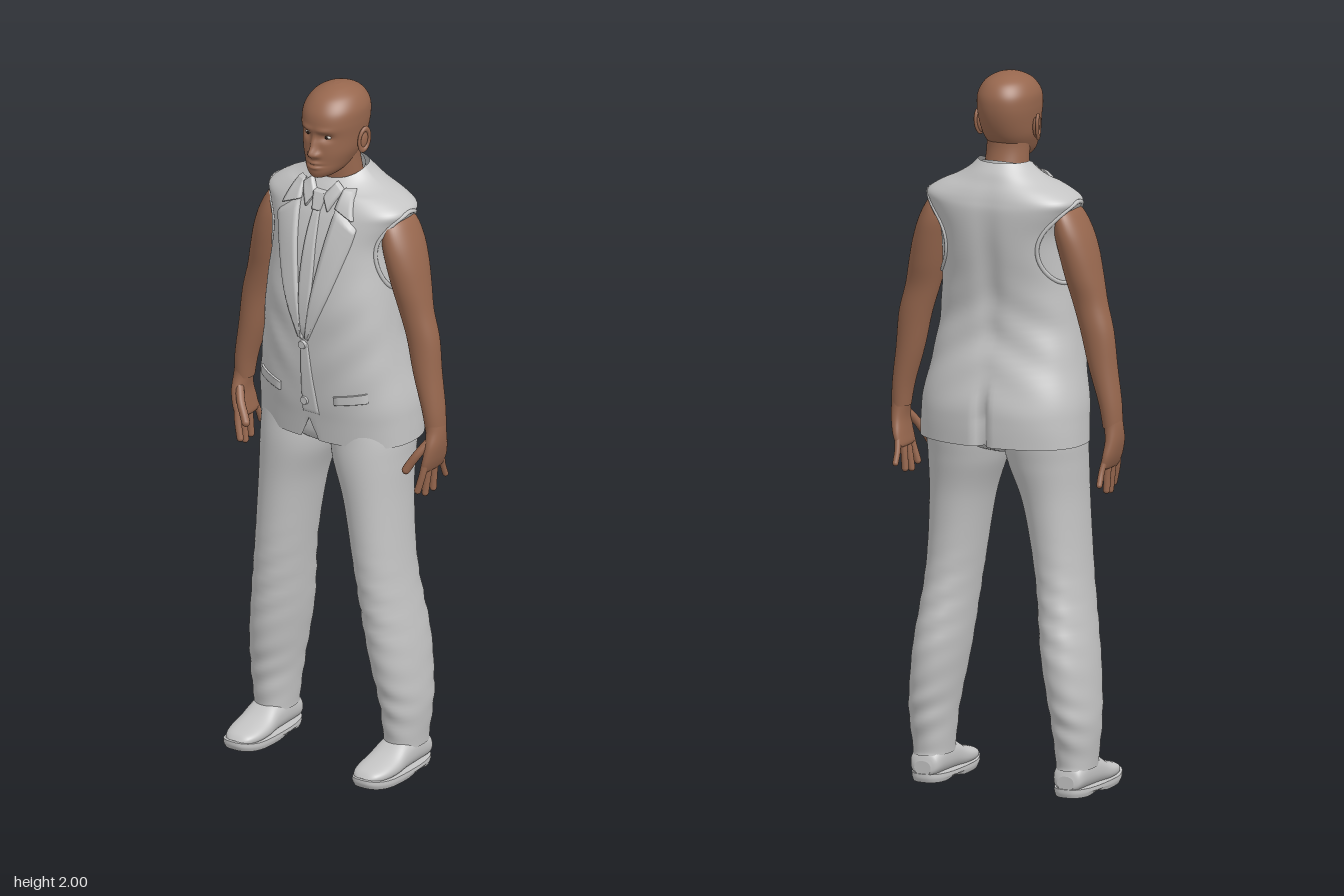
import * as THREE from 'three';
import { mergeGeometries } from 'three/addons/utils/BufferGeometryUtils.js';

const gauss = (d, s) => Math.exp(-(d * d) / (s * s));
const clamp01 = (v) => Math.min(1, Math.max(0, v));
const spow = (v, p) => Math.sign(v) * Math.abs(v) ** p;

// Smooth interpolation between cross-section rows: [y, centreX, zFront, zBack, halfWidth, roundness]
function sample(rows, t) {
  const k = Math.min(Math.floor(t), rows.length - 2), f = t - k;
  const r = (i) => rows[Math.min(rows.length - 1, Math.max(0, i))];
  return rows[0].map((_, c) => {
    const a = r(k - 1)[c], b = r(k)[c], d = r(k + 1)[c], e = r(k + 2)[c];
    const m0 = (d - a) / 2, m1 = (e - b) / 2;
    return b + m0 * f + (3 * (d - b) - 2 * m0 - m1) * f * f + (2 * (b - d) + m0 + m1) * f ** 3;
  });
}

// Closed tube through the rows; deform(v) may push vertices about
function loft(rows, { seg = 48, sub = 5, deform, caps = true } = {}) {
  const pos = [], idx = [], n = (rows.length - 1) * sub;
  const v = new THREE.Vector3();
  for (let j = 0; j <= n; j++) {
    const [y, cx, zf, zb, w, p] = sample(rows, j / sub);
    for (let i = 0; i < seg; i++) {
      const a = (i / seg) * Math.PI * 2;
      v.set(cx + w * spow(Math.cos(a), 2 / p), y, (zf + zb) / 2 + ((zf - zb) / 2) * spow(Math.sin(a), 2 / p));
      if (deform) deform(v);
      pos.push(v.x, v.y, v.z);
      if (j < n) {
        const A = j * seg + i, B = j * seg + ((i + 1) % seg);
        idx.push(A, A + seg, B, B, A + seg, B + seg);
      }
    }
  }
  if (caps) for (const j of [0, n]) {
    const start = pos.length / 3, c = new THREE.Vector3();
    for (let i = 0; i < seg; i++) {
      v.fromArray(pos, (j * seg + i) * 3);
      pos.push(v.x, v.y, v.z);
      c.addScaledVector(v, 1 / seg);
      const q = start + ((i + 1) % seg);
      idx.push(...(j ? [start + i, start + seg, q] : [start + i, q, start + seg]));
    }
    pos.push(c.x, c.y, c.z);
  }
  return surface(pos, idx);
}

function surface(pos, idx) {
  const g = new THREE.BufferGeometry();
  g.setAttribute('position', new THREE.Float32BufferAttribute(pos, 3));
  g.setIndex(idx);
  g.computeVertexNormals();
  return g;
}

function mirrored(geo) {
  const g = geo.clone().scale(-1, 1, 1), ix = g.index;
  for (let i = 0; i < ix.count; i += 3) {
    const a = ix.getX(i);
    ix.setX(i, ix.getX(i + 1));
    ix.setX(i + 1, a);
  }
  return g;
}

const TORSO = [
  [0.98, 0, 0.125, -0.185, 0.24, 2.4], [1.04, 0, 0.132, -0.187, 0.238, 2.4], [1.1, 0, 0.14, -0.182, 0.234, 2.4],
  [1.2, 0, 0.148, -0.155, 0.215, 2.4], [1.3, 0, 0.15, -0.13, 0.201, 2.4], [1.4, 0, 0.149, -0.13, 0.193, 2.4],
  [1.5, 0, 0.135, -0.145, 0.185, 2.4], [1.57, 0, 0.12, -0.153, 0.186, 2.5], [1.63, 0, 0.1, -0.155, 0.21, 2.6],
  [1.66, 0, 0.087, -0.15, 0.222, 2.6], [1.685, 0, 0.077, -0.142, 0.192, 2.4], [1.71, 0, 0.066, -0.13, 0.14, 2.2],
  [1.735, 0, 0.056, -0.118, 0.1, 2.1], [1.76, 0, 0.042, -0.1, 0.075, 2],
];

function torsoRow(y) {
  let lo = 0, hi = TORSO.length - 1;
  for (let i = 0; i < 24; i++) {
    const m = (lo + hi) / 2;
    if (sample(TORSO, m)[0] < y) lo = m; else hi = m;
  }
  return sample(TORSO, lo);
}
const superY = (u, p) => Math.max(0, 1 - Math.min(1, Math.abs(u)) ** p) ** (1 / p);
function torsoZ(x, y) {
  const [, , f, b, w, p] = torsoRow(y);
  return (f + b) / 2 + ((f - b) / 2) * superY(x / w, p);
}
function torsoX(y, z) {
  const [, , f, b, w, p] = torsoRow(y);
  return w * superY((z - (f + b) / 2) / ((f - b) / 2), p);
}

// Cloth panel lying on the front of the jacket between two edge curves
function panel(edgeA, edgeB, lift) {
  const [A, B] = [edgeA, edgeB].map((e) => new THREE.SplineCurve(e.map((p) => new THREE.Vector2(...p))));
  const us = [0, 0.02, 0.2, 0.4, 0.6, 0.8, 0.98, 1], nv = 18, pos = [], idx = [], w = us.length;
  for (let j = 0; j <= nv; j++) {
    const v = j / nv, a = A.getPoint(v), b = B.getPoint(v);
    us.forEach((u, i) => {
      const p = a.clone().lerp(b, u), edge = i === 0 || i === w - 1 || j === 0 || j === nv;
      pos.push(p.x, p.y, torsoZ(p.x, p.y) + (edge ? -0.003 : lift));
      if (j < nv && i < w - 1) {
        const q = j * w + i;
        idx.push(q, q + 1, q + w, q + 1, q + w + 1, q + w);
      }
    });
  }
  return surface(pos, idx);
}

// Finger with a rounded tip
function finger(points, r) {
  const pts = points.map((p) => new THREE.Vector3(...p));
  return mergeGeometries([
    new THREE.TubeGeometry(new THREE.CatmullRomCurve3(pts), 10, r, 12),
    new THREE.SphereGeometry(r, 12, 8).translate(...points[points.length - 1]),
  ]);
}

export function createModel() {
  const model = new THREE.Group();
  const mat = (name, color, side = THREE.FrontSide) => {
    const m = new THREE.MeshStandardMaterial({ color, side });
    m.name = name;
    return m;
  };
  const skin = mat('brown skin', 0x97674e);
  const cloth = mat('grey cloth', 0xc4c4c4, THREE.DoubleSide);
  const white = mat('eye white', 0xd2cdc6);
  const dark = mat('dark iris', 0x2c1d16);
  const add = (name, geo, m) => {
    const mesh = new THREE.Mesh(geo, m);
    mesh.name = name;
    model.add(mesh);
  };
  const pair = (name, geo, m) => {
    add(name + 'Left', geo, m);
    add(name + 'Right', mirrored(geo), m);
  };

  // Head with nose, brow, sockets and lips pushed out of the front
  add('head', loft([
    [1.752, 0, 0.098, 0.03, 0.015, 2], [1.758, 0, 0.106, 0, 0.032, 2], [1.775, 0, 0.111, -0.035, 0.049, 2.1],
    [1.8, 0, 0.107, -0.06, 0.062, 2.2], [1.83, 0, 0.107, -0.083, 0.073, 2.2], [1.87, 0, 0.105, -0.1, 0.079, 2.2],
    [1.91, 0, 0.108, -0.108, 0.083, 2.2], [1.945, 0, 0.1, -0.105, 0.081, 2.1], [1.975, 0, 0.075, -0.085, 0.064, 2],
    [1.993, 0, 0.038, -0.05, 0.036, 2], [2, 0, 0.005, -0.015, 0.01, 2],
  ], { seg: 112, sub: 9, deform: (v) => {
    if (v.z < 0.03) return;
    const x = Math.abs(v.x), { y } = v;
    v.z += 0.022 * gauss(x, 0.011) * gauss(y - 1.83, 0.016) + 0.012 * gauss(x, 0.009) * gauss(y - 1.856, 0.022)
      + 0.009 * gauss(x - 0.015, 0.008) * gauss(y - 1.826, 0.009)
      - 0.013 * gauss(x - 0.031, 0.017) * gauss(y - 1.877, 0.012) + 0.005 * gauss(x - 0.028, 0.024) * gauss(y - 1.898, 0.008)
      + 0.008 * gauss(x, 0.02) * (gauss(y - 1.8, 0.006) + gauss(y - 1.788, 0.006)) - 0.004 * gauss(x, 0.025) * gauss(y - 1.794, 0.003);
  } }), skin);
  add('neck', loft([
    [1.66, 0, 0.03, -0.1, 0.064, 2], [1.74, 0, 0.042, -0.082, 0.061, 2],
    [1.8, 0, 0.05, -0.07, 0.059, 2], [1.87, 0, 0.05, -0.075, 0.06, 2],
  ]), skin);
  pair('eye', new THREE.SphereGeometry(0.012, 20, 14).scale(1.1, 0.55, 1).translate(0.031, 1.877, 0.08), white);
  pair('iris', new THREE.SphereGeometry(0.005, 14, 10).scale(1, 1, 0.4).translate(0.031, 1.877, 0.0912), dark);
  const ear = mergeGeometries([
    new THREE.SphereGeometry(1, 18, 14).scale(0.009, 0.03, 0.016),
    new THREE.TorusGeometry(0.017, 0.005, 8, 24).scale(1, 1.8, 1).rotateY(Math.PI / 2).translate(0.006, 0.002, 0),
  ]).rotateX(-0.15).rotateY(-0.3).translate(0.083, 1.85, -0.008);
  pair('ear', ear, skin);

  // Arms and hands
  pair('arm', loft([
    [1.035, 0.322, 0.015, -0.05, 0.026, 2], [1.1, 0.315, 0.02, -0.055, 0.031, 2], [1.2, 0.294, 0.022, -0.06, 0.04, 2],
    [1.3, 0.277, 0.022, -0.065, 0.047, 2], [1.38, 0.255, 0.028, -0.068, 0.049, 2], [1.45, 0.238, 0.04, -0.083, 0.052, 2],
    [1.52, 0.222, 0.05, -0.095, 0.052, 2], [1.58, 0.206, 0.05, -0.1, 0.047, 2], [1.63, 0.192, 0.035, -0.09, 0.033, 2],
    [1.65, 0.185, 0, -0.06, 0.015, 2],
  ]), skin);
  pair('palm', loft([
    [0.922, 0.311, 0.03, -0.06, 0.009, 2.3], [0.932, 0.313, 0.035, -0.064, 0.014, 2.3], [0.96, 0.32, 0.036, -0.064, 0.018, 2.3],
    [1, 0.326, 0.03, -0.055, 0.021, 2.2], [1.04, 0.324, 0.018, -0.05, 0.025, 2], [1.07, 0.319, 0.017, -0.052, 0.027, 2],
  ]), skin);
  [[0.025, 0.036, 0.868], [0, 0.006, 0.853], [-0.026, -0.026, 0.858], [-0.052, -0.078, 0.882]].forEach(([z0, z1, y], i) =>
    pair('finger' + (i + 1), finger([[0.317, 0.955, z0], [0.311, 0.915, (z0 + z1) / 2], [0.299 + i * 0.004, y, z1]], i === 3 ? 0.0085 : 0.0098), skin));
  pair('thumb', finger([[0.318, 1.01, 0.012], [0.297, 0.975, 0.035], [0.279, 0.945, 0.045], [0.27, 0.928, 0.05]], 0.012), skin);

  // Sleeveless jacket with cutaway front hem, back vent and soft folds
  add('jacket', loft(TORSO, { seg: 160, sub: 5, caps: false, deform: (v) => {
    const { x, y, z } = v;
    const low = clamp01((1.16 - y) / 0.1), waist = gauss(y - 1.27, 0.14);
    if (z < 0) {
      v.z += 0.03 * gauss(x, 0.014) * low + 0.012 * gauss(x, 0.035) * gauss(y - 1.45, 0.2);
      v.z += 0.003 * waist * Math.sin(y * 55 + Math.abs(x) * 30);
    } else v.z += 0.0025 * waist * Math.sin(y * 45 - Math.abs(x) * 45) * clamp01(Math.abs(x) * 12);
    if (z > 0) v.y = Math.max(y, 1.045 - Math.abs(x) * 2.2);
    v.y -= clamp01((y - 1.7) / 0.06) * Math.max(0, z + 0.03) * 0.35;
  } }), cloth);
  const rim = Array.from({ length: 20 }, (_, i) => {
    const a = (i / 20) * Math.PI * 2, y = 1.545 + 0.115 * Math.sin(a), z = -0.03 + 0.085 * Math.cos(a);
    return new THREE.Vector3(torsoX(y, z), y, z);
  });
  pair('armholeRim', new THREE.TubeGeometry(new THREE.CatmullRomCurve3(rim, true), 60, 0.006, 8, true), cloth);

  // Lapels, collars and tie
  pair('lapel', panel([[0.004, 1.28], [0.022, 1.42], [0.044, 1.56], [0.062, 1.68]],
    [[0.01, 1.28], [0.07, 1.42], [0.115, 1.56], [0.13, 1.625]], 0.011), cloth);
  pair('jacketCollar', panel([[0.058, 1.67], [0.066, 1.72]], [[0.118, 1.645], [0.092, 1.72]], 0.012), cloth);
  pair('shirtCollarPoint', panel([[0.012, 1.695], [0.04, 1.735]], [[0.036, 1.655], [0.066, 1.715]], 0.01), cloth);
  const tilt = (v) => { v.y -= (v.z + 0.1) * 0.3; };
  add('shirtCollar', loft([[1.7, 0, 0.062, -0.098, 0.077, 2], [1.74, 0, 0.056, -0.094, 0.071, 2],
    [1.768, 0, 0.05, -0.09, 0.066, 2]], { caps: false, deform: tilt }), cloth);
  add('tie', panel([[-0.008, 1.29], [-0.02, 1.45], [-0.016, 1.58], [-0.009, 1.665]],
    [[0.008, 1.29], [0.02, 1.45], [0.016, 1.58], [0.009, 1.665]], 0.008), cloth);
  add('tieKnot', panel([[-0.011, 1.655], [-0.02, 1.705]], [[0.011, 1.655], [0.02, 1.705]], 0.014), cloth);

  // Front overlap, buttons and pocket flaps
  add('frontOverlap', panel([[-0.014, 1.06], [-0.012, 1.28]], [[0.04, 1.06], [0.01, 1.28]], 0.004), cloth);
  for (const y of [1.1, 1.27])
    add('button', new THREE.CylinderGeometry(0.011, 0.013, 0.008, 20).rotateX(Math.PI / 2).translate(-0.004, y, torsoZ(0, y) + 0.006), cloth);
  pair('pocketFlap', panel([[0.09, 1.105], [0.088, 1.132]], [[0.178, 1.12], [0.176, 1.15]], 0.007), cloth);

  // Trousers with creases at the knee and ankle
  add('trouserSeat', loft([
    [0.945, 0, 0.05, -0.07, 0.05, 2], [0.965, 0, 0.09, -0.12, 0.14, 2.2],
    [1, 0, 0.112, -0.15, 0.21, 2.3], [1.1, 0, 0.11, -0.15, 0.2, 2.3],
  ]), cloth);
  pair('trouserLeg', loft([
    [0.075, 0.218, 0.052, -0.102, 0.051, 2.2], [0.1, 0.218, 0.051, -0.102, 0.053, 2.2], [0.2, 0.217, 0.065, -0.12, 0.063, 2.1],
    [0.3, 0.206, 0.084, -0.13, 0.069, 2.1], [0.4, 0.193, 0.095, -0.13, 0.073, 2.1], [0.6, 0.167, 0.109, -0.106, 0.073, 2.1],
    [0.8, 0.143, 0.115, -0.114, 0.085, 2.1], [0.92, 0.122, 0.119, -0.135, 0.106, 2.1], [1, 0.115, 0.112, -0.148, 0.113, 2.1],
    [1.08, 0.11, 0.1, -0.14, 0.1, 2.1],
  ], { seg: 64, sub: 9, deform: (v) => {
    const fold = gauss(v.y - 0.5, 0.12) + gauss(v.y - 0.2, 0.09);
    v.z += 0.003 * fold * Math.sin(v.y * 90 + v.x * 40);
  } }), cloth);

  // Shoes: uppers run heel to toe, soles sit below
  pair('shoeUpper', loft([
    [-0.1, 0.218, -0.02, -0.06, 0.025, 2.3], [-0.085, 0.218, -0.015, -0.09, 0.043, 2.3], [-0.03, 0.218, -0.012, -0.115, 0.048, 2.3],
    [0.03, 0.218, -0.012, -0.104, 0.051, 2.3], [0.08, 0.217, -0.012, -0.076, 0.055, 2.3], [0.13, 0.216, -0.015, -0.061, 0.052, 2.3],
    [0.165, 0.215, -0.018, -0.051, 0.039, 2.3], [0.182, 0.215, -0.022, -0.036, 0.018, 2.3],
  ]).rotateX(Math.PI / 2), cloth);
  pair('shoeSole', loft([
    [0, 0.217, 0.185, -0.1, 0.057, 2.7], [0.012, 0.217, 0.192, -0.104, 0.061, 2.7], [0.024, 0.217, 0.192, -0.104, 0.061, 2.7],
  ], { deform: (v) => { v.y += 1.4 * Math.max(0, v.z - 0.1) ** 2 + (v.y < 0.01 ? 0.01 * gauss(v.z + 0.01, 0.03) : 0); } }), cloth);

  return model;
}
